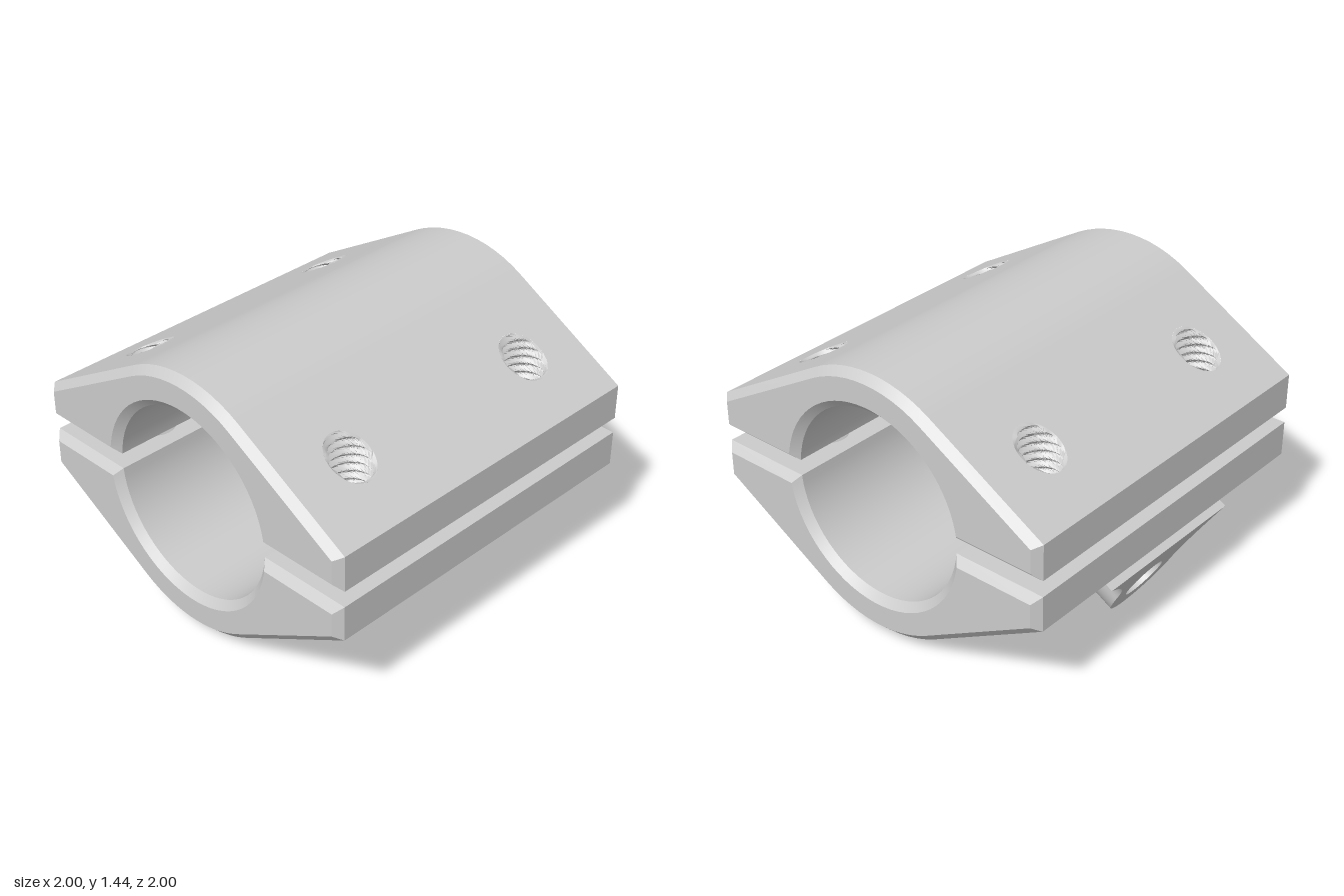
import * as THREE from 'three';
import { mergeGeometries, toCreasedNormals } from 'three/addons/utils/BufferGeometryUtils.js';

const CENTRE = 0.742;             // height of the bore axis
const BORE = 0.5, OUTER = 0.7;    // radii of bore and outer shell
const GAP = 0.043;                // parting face, from the bore axis
const BEVEL = 0.04;
const SEG = 32;
const HOLE_X = 0.68, HOLE_Z = 0.6;
const material = new THREE.MeshStandardMaterial({ color: 0xcccccc, roughness: 0.7 });

// height of the sloped flank, tangent to the outer shell at 30 degrees
const flank = x => OUTER / Math.cos(Math.PI / 6) - Math.abs(x) * Math.tan(Math.PI / 6);

function mesh(name, parts, crease = 0.5) {
  const clean = parts.map(p => {
    const g = p.index ? p.toNonIndexed() : p;
    g.deleteAttribute('uv');
    g.deleteAttribute('normal');
    g.clearGroups();
    return g;
  });
  const m = new THREE.Mesh(toCreasedNormals(mergeGeometries(clean), crease), material);
  m.name = name;
  return m;
}

// half clamp profile extruded along z, without the faces that carry holes
function shell() {
  const s = new THREE.Shape();
  const a = Math.asin(GAP / BORE), tangent = Math.PI / 3;
  s.moveTo(BORE * Math.cos(a), GAP);
  s.lineTo(1, GAP);
  s.lineTo(1, flank(1));
  for (let i = 0; i <= 12; i++) {
    const t = tangent + (Math.PI - 2 * tangent) * i / 12;
    s.lineTo(OUTER * Math.cos(t), OUTER * Math.sin(t));
  }
  s.lineTo(-1, flank(1));
  s.lineTo(-1, GAP);
  for (let i = 0; i < SEG; i++) {
    const t = Math.PI - a - (Math.PI - 2 * a) * i / SEG;
    s.lineTo(BORE * Math.cos(t), BORE * Math.sin(t));
  }
  const depth = 2 - 2 * BEVEL;
  let g = new THREE.ExtrudeGeometry(s, {
    depth, bevelThickness: BEVEL, bevelSize: BEVEL, bevelOffset: -BEVEL, bevelSegments: 1
  });
  g.translate(0, 0, -depth / 2);
  if (g.index) g = g.toNonIndexed();
  const p = g.attributes.position, kept = [];
  for (let i = 0; i < p.count; i += 3) {
    const tri = [i, i + 1, i + 2];
    const cx = Math.abs(tri.reduce((sum, k) => sum + p.getX(k), 0) / 3);
    const side = tri.every(k => Math.abs(p.getZ(k)) < depth / 2 + 0.001);
    if (side && cx > 0.51 && cx < 0.99) continue;
    for (const k of tri) kept.push(p.getX(k), p.getY(k), p.getZ(k));
  }
  const out = new THREE.BufferGeometry();
  out.setAttribute('position', new THREE.Float32BufferAttribute(kept, 3));
  return out;
}

// flat strip with two round holes, laid at height f(x), facing up or down
function panel(x0, side, radius, f, up) {
  const z = 1 - BEVEL;
  const s = new THREE.Shape([[x0, -z], [1, -z], [1, z], [x0, z]]
    .map(([x, y]) => new THREE.Vector2(side * x, y)));
  for (const hz of [-HOLE_Z, HOLE_Z]) {
    s.holes.push(new THREE.Path().absarc(side * HOLE_X, hz, radius, 0, Math.PI * 2));
  }
  const g = new THREE.ShapeGeometry(s, SEG), p = g.attributes.position;
  for (let i = 0; i < p.count; i++) {
    const x = p.getX(i), y = p.getY(i);
    p.setXYZ(i, x, f(x), up ? -y : y);
  }
  return g;
}

// inward-facing hole wall; row(i, angle, xAt) gives [radius, height]
function holeWall(cx, cz, rows, row) {
  const pos = [], idx = [], xAt = (r, t) => cx + r * Math.cos(t);
  for (let i = 0; i < rows; i++) {
    for (let j = 0; j <= SEG; j++) {
      const t = j / SEG * Math.PI * 2;
      const [r, y] = row(i, t, xAt);
      pos.push(xAt(r, t), y, cz + r * Math.sin(t));
      if (i < rows - 1 && j < SEG) {
        const a = i * (SEG + 1) + j, b = a + 1, c = a + SEG + 1, d = c + 1;
        idx.push(a, b, c, b, d, c);
      }
    }
  }
  const g = new THREE.BufferGeometry();
  g.setAttribute('position', new THREE.Float32BufferAttribute(pos, 3));
  g.setIndex(idx);
  return g;
}

// helical thread from the parting face up to the flank
function threadedHole(cx, cz) {
  const rows = 72, pitch = 0.045, root = 0.122, crest = 0.1;
  return holeWall(cx, cz, rows, (i, t, xAt) => {
    const y = THREE.MathUtils.lerp(GAP, flank(xAt(root, t)), i / (rows - 1));
    const phase = y / pitch - t / (Math.PI * 2);
    const wave = Math.abs(2 * (phase - Math.floor(phase)) - 1);
    const end = i === 0 || i === rows - 1;
    return [end ? root : THREE.MathUtils.lerp(crest, root, wave), y];
  });
}

// plain hole with a chamfered counterbore open to the flank
function counterbore(cx, cz) {
  const seat = 0.26;
  return holeWall(cx, cz, 5, (i, t, xAt) => [
    [0.1, GAP],
    [0.1, seat],
    [0.22, seat],
    [0.22, flank(xAt(0.22, t)) - 0.02],
    [0.24, flank(xAt(0.24, t))]
  ][i]);
}

function halfClamp(name, holeName, makeHole, flankRadius, partingRadius) {
  const group = new THREE.Group();
  group.name = name;
  const body = [shell()], holes = [];
  for (const side of [-1, 1]) {
    body.push(panel(OUTER / 2, side, flankRadius, flank, true));
    body.push(panel(Math.sqrt(BORE ** 2 - GAP ** 2), side, partingRadius, () => GAP, false));
    for (const hz of [-HOLE_Z, HOLE_Z]) holes.push(makeHole(side * HOLE_X, hz));
  }
  group.add(mesh(name + 'Body', body), mesh(holeName, holes));
  group.position.y = CENTRE;
  return group;
}

// flared lug below one flank, with a blind hole aimed at the bore axis
function sideLug() {
  const group = new THREE.Group();
  group.name = 'sideLug';
  const r = 0.22, depth = 0.45, holeR = 0.12;
  const s = new THREE.Shape();
  s.moveTo(-0.46, 0.29);
  s.quadraticCurveTo(-r, 0.14, -r, 0);
  s.absarc(0, 0, r, Math.PI, Math.PI * 2, false);
  s.quadraticCurveTo(r, 0.14, 0.46, 0.29);
  s.closePath();
  s.holes.push(new THREE.Path().absarc(0, 0, holeR, 0, Math.PI * 2));
  const boss = new THREE.ExtrudeGeometry(s, { depth, bevelEnabled: false, curveSegments: 24 });
  boss.translate(0, 0, -depth);
  const floor = new THREE.CircleGeometry(holeR, SEG).translate(0, 0, 0.03 - depth);
  const c = Math.cos(Math.PI / 6);
  const place = new THREE.Matrix4().makeBasis(
    new THREE.Vector3(0, 0, 1), new THREE.Vector3(-0.5, c, 0), new THREE.Vector3(-c, -0.5, 0)
  ).setPosition(-0.855, 0.195, 0);
  group.add(mesh('lugBoss', [boss.applyMatrix4(place), floor.applyMatrix4(place)]));

  // web filling the corner between lug and shell
  const half = [[0.1, 0.12], [0.16, 0.15], [0.2, 0.2], [0.23, 0.3]];
  const outline = [...half, ...half.map(([z, y]) => [-z, y]).reverse()];
  const web = new THREE.ExtrudeGeometry(
    new THREE.Shape(outline.map(([z, y]) => new THREE.Vector2(z, y))),
    { depth: 0.45, bevelEnabled: false });
  web.rotateY(-Math.PI / 2).translate(-0.3, 0, 0);
  group.add(mesh('lugWeb', [web], 0.8));
  return group;
}

export function createModel() {
  const model = new THREE.Group();
  model.name = 'tubeClamp';
  const upper = halfClamp('upperHalf', 'threadedHoles', threadedHole, 0.122, 0.122);
  const lower = halfClamp('lowerHalf', 'counterboredHoles', counterbore, 0.24, 0.1);
  lower.rotation.z = Math.PI;
  model.add(upper, lower, sideLug());
  return model;
}
